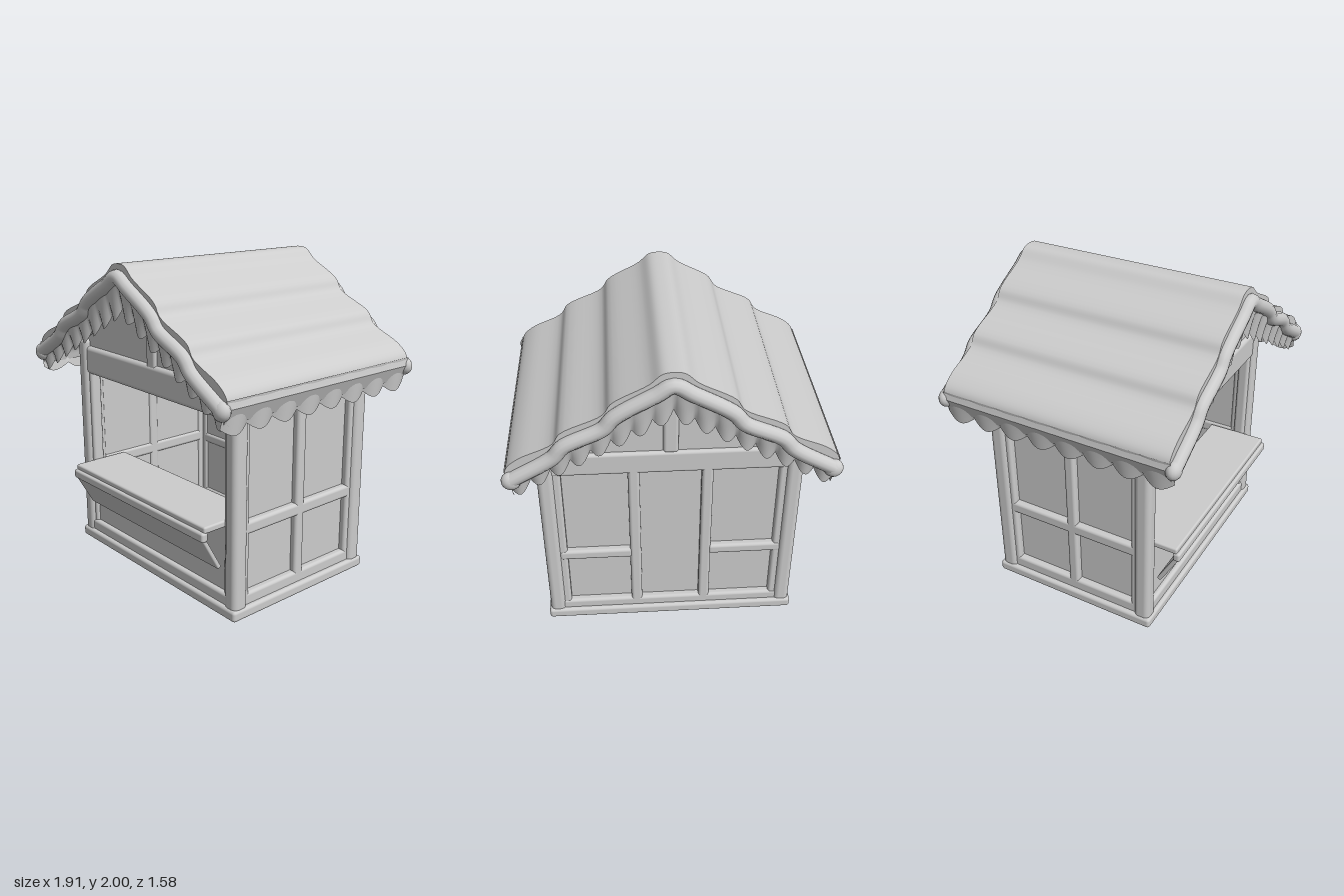
import * as THREE from 'three';
import { RoundedBoxGeometry } from 'three/addons/geometries/RoundedBoxGeometry.js';
import { toCreasedNormals } from 'three/addons/utils/BufferGeometryUtils.js';

export function createModel() {
  const model = new THREE.Group();
  const grey = new THREE.MeshStandardMaterial({ color: 0xcccccc, side: THREE.DoubleSide });
  grey.name = 'pale grey';

  const add = (name, geometry) => {
    const mesh = new THREE.Mesh(geometry, grey);
    mesh.name = name;
    model.add(mesh);
    return mesh;
  };
  // Soft-edged bar given by its min and max on each axis
  const bar = (name, x0, x1, y0, y1, z0, z1, r = 0.02) => {
    const w = x1 - x0, h = y1 - y0, d = z1 - z0;
    const mesh = add(name, new RoundedBoxGeometry(w, h, d, 3, Math.min(r, w / 2.1, h / 2.1, d / 2.1)));
    mesh.position.set((x0 + x1) / 2, (y0 + y1) / 2, (z0 + z1) / 2);
    return mesh;
  };
  const mirrored = (half) => [...half.slice(1).reverse().map(([x, y]) => [-x, y]), ...half];

  // Open base frame and corner posts
  for (const s of [-1, 1]) {
    bar('baseRail', -0.8, 0.8, 0, 0.07, s * 0.51 - 0.05, s * 0.51 + 0.05);
    bar('baseSideRail', s * 0.75 - 0.05, s * 0.75 + 0.05, 0, 0.07, -0.56, 0.56);
    for (const t of [-1, 1])
      bar('cornerPost', s * 0.74 - 0.05, s * 0.74 + 0.05, 0.04, 1.43, t * 0.495 - 0.053, t * 0.495 + 0.053, 0.035);
  }

  // Side walls: recessed panel, rails and a central mullion
  for (const s of [-1, 1]) {
    const rail = (name, y0, y1, z0, z1) => bar(name, s * 0.73 - 0.04, s * 0.73 + 0.04, y0, y1, z0, z1);
    bar('sidePanel', s * 0.715 - 0.012, s * 0.715 + 0.012, 0.05, 1.42, -0.48, 0.48, 0.005);
    rail('sideBottomRail', 0.05, 0.14, -0.48, 0.48);
    rail('sideMiddleRail', 0.51, 0.59, -0.48, 0.48);
    rail('sideTopRail', 1.18, 1.42, -0.48, 0.48);
    rail('sideMullion', 0.08, 1.25, -0.035, 0.035);
    for (const t of [-1, 1]) rail('sideStile', 0.08, 1.25, t * 0.44 - 0.025, t * 0.44 + 0.025);
  }

  // Back wall: tall central door between two-pane bays
  bar('backPanel', -0.72, 0.72, 0.05, 1.35, -0.492, -0.468, 0.005);
  bar('backBottomRail', -0.72, 0.72, 0.05, 0.13, -0.535, -0.455);
  bar('backTopRail', -0.72, 0.72, 1.18, 1.33, -0.535, -0.455);
  for (const s of [-1, 1]) {
    bar('backMullion', s * 0.22 - 0.035, s * 0.22 + 0.035, 0.08, 1.22, -0.535, -0.44);
    bar('backStile', s * 0.68 - 0.03, s * 0.68 + 0.03, 0.08, 1.22, -0.53, -0.455);
    const a = s * 0.24, b = s * 0.7;
    bar('backMiddleRail', Math.min(a, b), Math.max(a, b), 0.5, 0.57, -0.535, -0.455);
  }

  // Front wall with the serving opening
  bar('frontPanel', -0.72, 0.72, 0.05, 0.57, 0.465, 0.505, 0.01);
  bar('frontBottomRail', -0.72, 0.72, 0.05, 0.14, 0.45, 0.535);
  bar('frontHeader', -0.72, 0.72, 1.19, 1.38, 0.455, 0.535, 0.03);
  for (const s of [-1, 1])
    bar('openingStile', s * 0.69 - 0.025, s * 0.69 + 0.025, 0.1, 1.25, 0.45, 0.525);

  // Counter with a sloping apron below its front lip
  bar('counter', -0.67, 0.67, 0.55, 0.592, 0.28, 0.67, 0.012);
  bar('counterLip', -0.675, 0.675, 0.5, 0.56, 0.645, 0.69, 0.015);
  const apron = bar('counterApron', -0.665, 0.665, 0.285, 0.545, 0.599, 0.627, 0.01);
  apron.rotation.x = 0.51;

  // Gable walls with a king post
  const gable = new THREE.Shape([[-0.76, 1.25], [0.76, 1.25], [0.76, 1.43], [0, 1.89], [-0.76, 1.43]]
    .map(([x, y]) => new THREE.Vector2(x, y)));
  for (const s of [-1, 1]) {
    const g = new THREE.ExtrudeGeometry(gable, { depth: 0.05, bevelEnabled: false });
    g.translate(0, 0, s * 0.485 - 0.025);
    add('gableWall', g);
    bar('kingPost', -0.045, 0.045, 1.32, 1.86, s * 0.495 - 0.035, s * 0.495 + 0.035);
  }

  // Stepped roof sheet, a smooth profile run from front to back
  const profile = mirrored([[0, 2], [0.06, 1.99], [0.13, 1.93], [0.33, 1.82], [0.38, 1.75],
    [0.61, 1.64], [0.66, 1.57], [0.85, 1.48], [0.92, 1.42], [0.94, 1.35]]);
  const top = new THREE.CatmullRomCurve3(profile.map(([x, y]) => new THREE.Vector3(x, y, 0)), false, 'centripetal').getPoints(100);
  const under = top.map((p) => new THREE.Vector2(p.x * 0.96, p.y - 0.09)).reverse();
  const roofShape = new THREE.Shape([...top.map((p) => new THREE.Vector2(p.x, p.y)), ...under]);
  const roof = new THREE.ExtrudeGeometry(roofShape, {
    depth: 1.45, steps: 1, bevelEnabled: true, bevelSize: 0, bevelThickness: 0.01, bevelSegments: 1,
  });
  roof.translate(0, 0, -0.725);
  add('roof', toCreasedNormals(roof, 0.6));

  // Rolled rims along both gable edges, ending in round knobs
  const rim = mirrored([[0, 1.925], [0.1, 1.87], [0.32, 1.74], [0.38, 1.67], [0.6, 1.56], [0.66, 1.49], [0.9, 1.345]]);
  for (const s of [-1, 1]) {
    const z = s * 0.745;
    const path = new THREE.CatmullRomCurve3(rim.map(([x, y]) => new THREE.Vector3(x, y, z)), false, 'centripetal');
    add('gableRim', new THREE.TubeGeometry(path, 90, 0.045, 12));
    for (const t of [-1, 1]) {
      const knob = add('rimKnob', new THREE.SphereGeometry(0.056, 16, 12));
      knob.position.set(t * 0.9, 1.34, z);
      knob.scale.z = 0.8;
    }
  }

  // Scalloped skirts: a strip between an upper and a scalloped lower edge
  const skirt = (name, count, upper, lower) => {
    const g = new THREE.PlaneGeometry(1, 1, count, 3);
    const pos = g.attributes.position;
    for (let i = 0; i < pos.count; i++) {
      const u = pos.getX(i) + 0.5, v = pos.getY(i) + 0.5;
      const p = new THREE.Vector3(...lower(u)).lerp(new THREE.Vector3(...upper(u)), v);
      pos.setXYZ(i, p.x, p.y, p.z);
    }
    g.computeVertexNormals();
    add(name, g);
  };
  const lobe = (t) => Math.abs(Math.sin(t * Math.PI * 8));
  for (const s of [-1, 1]) {
    // Gable skirt follows the roof slope
    skirt('gableSkirt', 128,
      (u) => { const x = s * (u * 2 - 1) * 0.91; return [x, 1.92 - Math.abs(x) * 0.63, s * 0.76]; },
      (u) => {
        const k = u * 2 - 1, l = lobe(k);
        return [s * k * 0.91, 1.75 - Math.abs(k) * 0.5 - 0.055 * l, s * (0.705 + 0.025 * l)];
      });
    // Eave skirt hangs straight from the roof edge
    skirt('eaveSkirt', 96,
      (u) => [s * 0.935, 1.4, -s * (u * 2 - 1) * 0.74],
      (u) => [s * (0.89 + 0.02 * lobe(u)), 1.24 - 0.045 * lobe(u), -s * (u * 2 - 1) * 0.75]);
  }
  return model;
}
